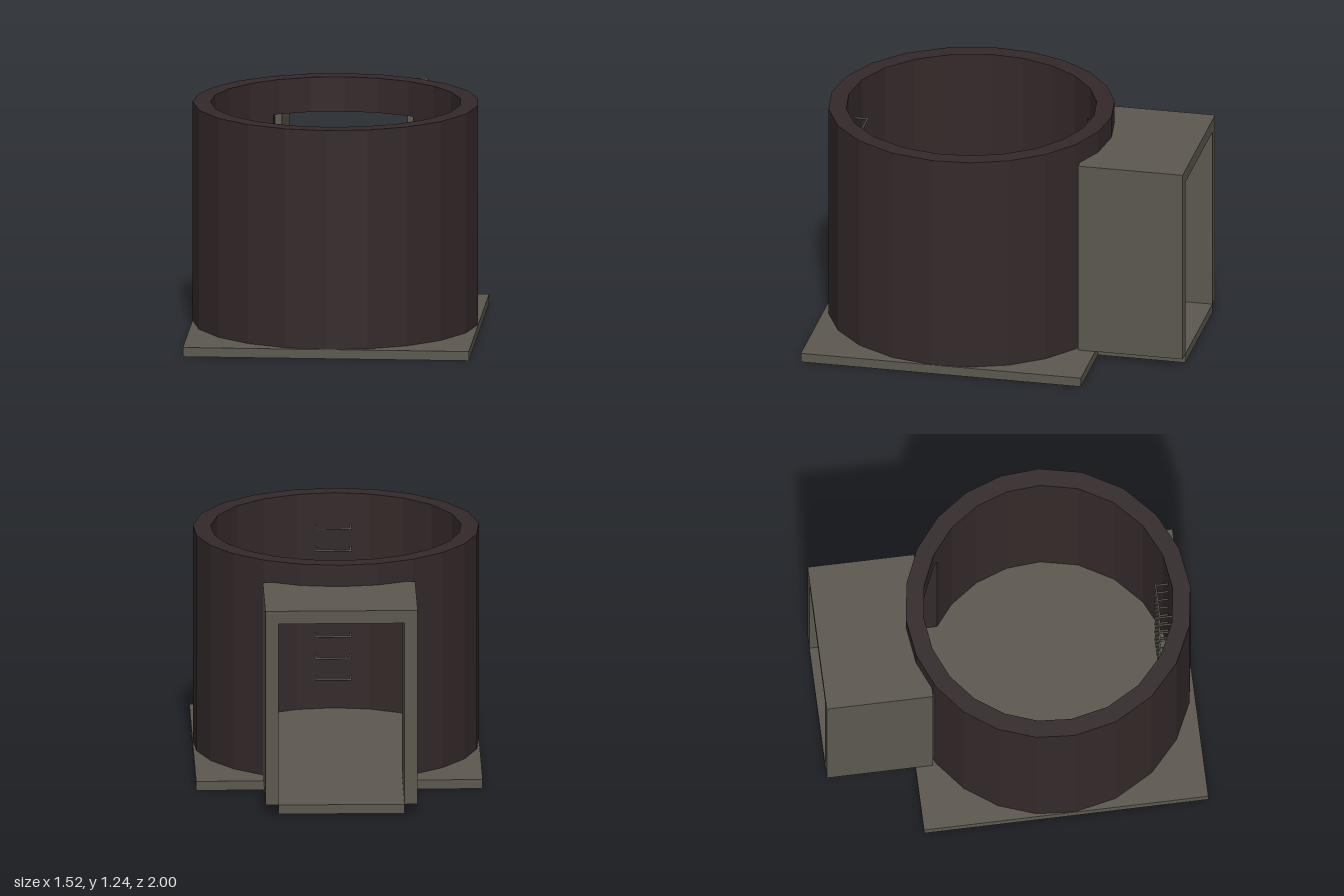
import * as THREE from 'three';

const OUTER = 0.762, INNER = 0.667, CENTRE_Z = 0.238;
const FLOOR = 0.05, DOOR_TOP = 1.05, TOP = 1.238, DOOR_HALF = 0.372;

// Corner angles from the back round to the front, mirrored for the other half
const ANGLES = [0, 15.6, 31.2, 46.8, 62.4, 78, 93.5, 111, 129, 146.3, 163.2, 180];
const SIDES = 22;

const shapeOf = (pts) => new THREE.Shape(pts.map(([x, y]) => new THREE.Vector2(x, y)));

// Corner i of the many-sided ring; shape y becomes -z
const corner = (r, i) => {
  const a = THREE.MathUtils.degToRad(i < ANGLES.length ? ANGLES[i] : -ANGLES[SIDES - i]);
  return [r * Math.sin(a), r * Math.cos(a)];
};

// Extrude a plan outline upwards from y0 to y1
function extrudeUp(shape, y0, y1) {
  const g = new THREE.ExtrudeGeometry(shape, { depth: y1 - y0, bevelEnabled: false });
  g.rotateX(-Math.PI / 2);
  g.translate(0, y0, 0);
  return g;
}

// Ring corners from one door jamb round the front to the other
function openArc(r) {
  let k = 0;
  while (corner(r, k + 1)[0] < DOOR_HALF) k++;
  const a = corner(r, k), b = corner(r, k + 1);
  const y = a[1] + ((b[1] - a[1]) * (DOOR_HALF - a[0])) / (b[0] - a[0]);
  const pts = [[DOOR_HALF, y]];
  for (let i = k + 1; i < SIDES - k; i++) pts.push(corner(r, i));
  pts.push([-DOOR_HALF, y]);
  return pts;
}

export function createModel() {
  const model = new THREE.Group();
  const stone = new THREE.MeshStandardMaterial({ color: 0x5c584e });
  stone.name = 'olive grey';
  const dark = new THREE.MeshStandardMaterial({ color: 0x34292a });
  dark.name = 'dark brown';

  const add = (name, geometry, material, parent = model) => {
    const mesh = new THREE.Mesh(geometry, material);
    mesh.name = name;
    parent.add(mesh);
    return mesh;
  };

  // Square base with a tongue under the passage
  const base = shapeOf([
    [-0.762, -1], [0.762, -1], [0.762, 0.524], [0.335, 0.524],
    [0.335, 1], [-0.335, 1], [-0.335, 0.524], [-0.762, 0.524],
  ]);
  add('basePlate', extrudeUp(base, 0, FLOOR), stone);

  // Faceted shaft: lower wall open at the back, closed ring above the doorway
  const shaft = new THREE.Group();
  shaft.name = 'shaft';
  shaft.position.z = CENTRE_Z;
  model.add(shaft);
  const wall = shapeOf([...openArc(OUTER), ...openArc(INNER).reverse()]);
  add('shaftWall', extrudeUp(wall, FLOOR, DOOR_TOP), dark, shaft);
  const circle = (r) => Array.from({ length: SIDES }, (_, i) => corner(r, i));
  const ring = shapeOf(circle(OUTER).reverse());
  ring.holes.push(shapeOf(circle(INNER)));
  add('shaftRing', extrudeUp(ring, DOOR_TOP, TOP), dark, shaft);

  // Passage: two walls and a roof, open at both ends
  const portal = shapeOf([
    [-0.405, FLOOR], [-0.335, FLOOR], [-0.335, DOOR_TOP], [0.335, DOOR_TOP],
    [0.335, FLOOR], [0.405, FLOOR], [0.405, 1.12], [-0.405, 1.12],
  ]);
  const passage = new THREE.ExtrudeGeometry(portal, { depth: 0.57, bevelEnabled: false });
  add('passage', passage, stone).position.z = -1;

  // Thin round step irons up the inside of the front wall
  const ladder = new THREE.Group();
  ladder.name = 'stepIrons';
  model.add(ladder);
  const R = 0.0055;
  const bar = new THREE.CylinderGeometry(R, R, 0.195, 8).rotateZ(Math.PI / 2);
  const arm = new THREE.CylinderGeometry(R, R, 0.08, 8).rotateX(Math.PI / 2);
  for (let i = 0; i < 8; i++) {
    const y = 1.06 - i * 0.119;
    add('stepBar', bar, stone, ladder).position.set(0, y, 0.825);
    for (const s of [-1, 1]) {
      add('stepArm', arm, stone, ladder).position.set(s * 0.092, y, 0.866);
    }
  }
  return model;
}
